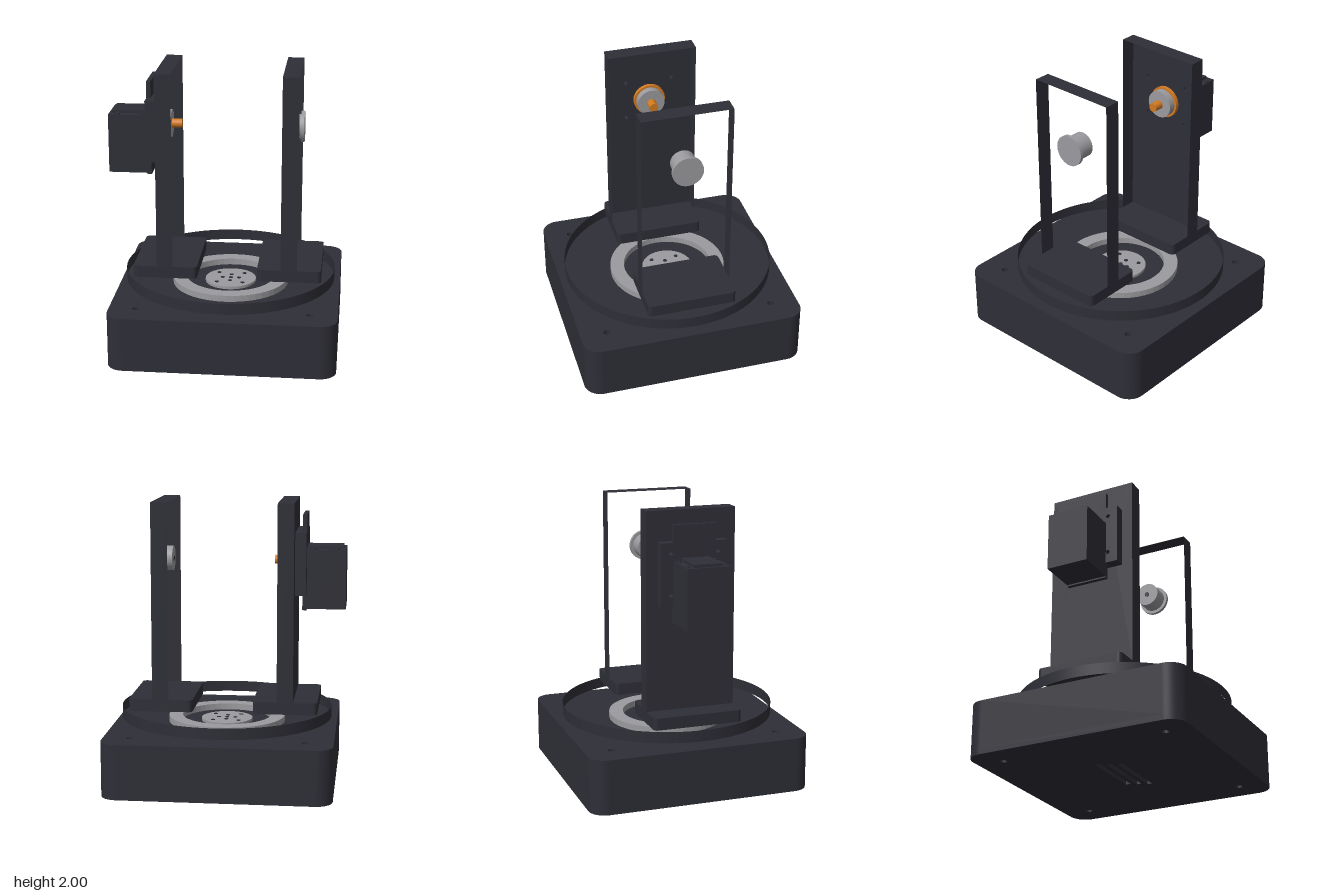
import * as THREE from 'three';

const dark = new THREE.MeshStandardMaterial({ color: 0x2e2e37, side: THREE.DoubleSide });
dark.name = 'charcoal';
const grey = new THREE.MeshStandardMaterial({ color: 0x9b9b9f, side: THREE.DoubleSide });
grey.name = 'metal grey';
const orange = new THREE.MeshStandardMaterial({ color: 0xd27a22 });
orange.name = 'orange';

const CX = 0.025; // turntable axis
const AXIS_Y = 1.575; // tilt axis height

function add(parent, name, geometry, material, x = 0, y = 0, z = 0) {
  const mesh = new THREE.Mesh(geometry, material);
  mesh.name = name;
  mesh.position.set(x, y, z);
  parent.add(mesh);
  return mesh;
}

// Box given by its minimum and maximum on each axis
function box(parent, name, material, x0, x1, y0, y1, z0, z1) {
  return add(parent, name, new THREE.BoxGeometry(x1 - x0, y1 - y0, z1 - z0), material,
    (x0 + x1) / 2, (y0 + y1) / 2, (z0 + z1) / 2);
}

// Cylinder lying along x
function axle(parent, name, material, x0, x1, r, y = AXIS_Y, z = 0) {
  const g = new THREE.CylinderGeometry(r, r, x1 - x0, 40).rotateZ(Math.PI / 2);
  return add(parent, name, g, material, (x0 + x1) / 2, y, z);
}

function roundedRect(w, h, r) {
  const s = new THREE.Shape();
  const a = w / 2, b = h / 2;
  s.absarc(a - r, b - r, r, 0, Math.PI / 2);
  s.absarc(-a + r, b - r, r, Math.PI / 2, Math.PI);
  s.absarc(-a + r, -b + r, r, Math.PI, Math.PI * 1.5);
  s.absarc(a - r, -b + r, r, Math.PI * 1.5, Math.PI * 2);
  s.closePath();
  return s;
}

function rect(x0, x1, y0, y1, Type = THREE.Shape) {
  const s = new Type();
  s.moveTo(x0, y0);
  s.lineTo(x1, y0);
  s.lineTo(x1, y1);
  s.lineTo(x0, y1);
  s.closePath();
  return s;
}

function punch(shape, points, r) {
  for (const [x, y] of points) shape.holes.push(new THREE.Path().absarc(x, y, r, 0, Math.PI * 2, true));
  return shape;
}

// Upward slab from a plan outline
function slab(shape, depth) {
  return new THREE.ExtrudeGeometry(shape, { depth, bevelEnabled: false, curveSegments: 24 }).rotateX(-Math.PI / 2);
}

const corners = (a, b = a) => [[a, b], [-a, b], [-a, -b], [a, -b]];

function buildBase(root) {
  const base = new THREE.Group();
  base.name = 'base';
  const outline = () => punch(roundedRect(1.6, 1.6, 0.12), corners(0.607), 0.025);
  const floor = outline();
  // Cable slots in the underside
  for (const [x, z] of [[0.03, -0.07], [0, 0], [-0.03, 0.07]])
    floor.holes.push(rect(x - 0.23, x + 0.23, z - 0.018, z + 0.018, THREE.Path));
  add(base, 'baseFloor', slab(floor, 0.04), dark, CX, 0, 0);
  add(base, 'baseBody', slab(outline(), 0.35), dark, CX, 0.04, 0);
  root.add(base);
}

function buildTurntable(root) {
  const table = new THREE.Group();
  table.name = 'turntable';
  table.position.x = CX;
  // Bearing ring
  const ring = punch(new THREE.Shape().absarc(0, 0, 0.422, 0, Math.PI * 2), [[0, 0]], 0.322);
  add(table, 'bearingRing', slab(ring, 0.045), grey, 0, 0.39, 0);
  // Open rim
  add(table, 'turntableRim', new THREE.CylinderGeometry(0.76, 0.76, 0.08, 96, 1, true), dark, 0, 0.475, 0);
  // Central hub with bolt holes
  add(table, 'hubDisc', new THREE.CylinderGeometry(0.185, 0.185, 0.02, 56), grey, 0, 0.40, 0);
  const bolts = [[0, 0], [0.06, 0], [-0.06, 0], [0, 0.06], [0, -0.06], ...corners(0.094)];
  for (const [x, z] of bolts)
    add(table, 'hubBoltHole', new THREE.CylinderGeometry(0.015, 0.015, 0.004, 16), dark, x, 0.411, z);
  root.add(table);
}

// Hollow upright made of front, back and top strips
function buildUpright(root, name, x0, x1, footX0, footX1) {
  const g = new THREE.Group();
  g.name = name;
  const w = x1 - x0, mid = (x0 + x1) / 2;
  for (const s of [1, -1]) {
    const strip = new THREE.PlaneGeometry(w, 1.4);
    if (s < 0) strip.rotateY(Math.PI);
    add(g, s > 0 ? 'frontStrip' : 'backStrip', strip, dark, mid, 1.3, s * 0.32);
  }
  add(g, 'topStrip', new THREE.PlaneGeometry(w, 0.64).rotateX(-Math.PI / 2), dark, mid, 2, 0);
  add(g, 'foot', slab(roundedRect(footX1 - footX0, 0.64, 0.03), 0.085), dark, (footX0 + footX1) / 2, 0.515, 0);
  root.add(g);
  return g;
}

function buildMotor(root) {
  const motor = new THREE.Group();
  motor.name = 'motor';
  box(motor, 'motorBody', dark, -0.83, -0.555, 1.245, 1.665, -0.153, 0.153);
  box(motor, 'motorCap', dark, -0.81, -0.555, 1.665, 1.685, -0.1, 0.1);
  box(motor, 'motorFlange', dark, -0.555, -0.525, 1.235, 1.91, -0.153, 0.153);
  for (const x of [-0.765, -0.6]) for (const z of [-0.13, 0.13])
    add(motor, 'motorScrew', new THREE.CylinderGeometry(0.018, 0.018, 0.008, 16), dark, x, 1.669, z);
  // Adapter plate between the flange and the upright
  const plate = punch(rect(-0.24, 0.24, 1.35, 1.79), mountHoles, 0.015);
  const g = new THREE.ExtrudeGeometry(plate, { depth: 0.078, bevelEnabled: false }).rotateY(Math.PI / 2);
  add(motor, 'adapterPlate', g, dark, -0.555, 0, 0);
  // Drive coupling
  axle(motor, 'couplingBack', orange, -0.472, -0.445, 0.115);
  axle(motor, 'couplingDisc', grey, -0.445, -0.395, 0.1);
  axle(motor, 'driveShaft', orange, -0.395, -0.322, 0.032);
  root.add(motor);
}

const mountHoles = corners(0.169, 0.144).map(([z, y]) => [z, y + AXIS_Y]);

export function createModel() {
  const root = new THREE.Group();
  root.name = 'tiltTurntable';
  buildBase(root);
  buildTurntable(root);

  const motorSide = buildUpright(root, 'motorUpright', -0.475, -0.36, -0.645, -0.19);
  const face = punch(rect(-0.32, 0.32, 0.6, 2), mountHoles, 0.015);
  add(motorSide, 'outerFace', new THREE.ShapeGeometry(face).rotateY(-Math.PI / 2), dark, -0.475, 0, 0);
  buildMotor(root);

  buildUpright(root, 'idlerUpright', 0.408, 0.525, 0.24, 0.695);
  // Idler bearing
  const idler = new THREE.Group();
  idler.name = 'idler';
  axle(idler, 'idlerBody', grey, 0.41, 0.525, 0.088);
  axle(idler, 'idlerFlange', grey, 0.525, 0.55, 0.11);
  axle(idler, 'idlerCentreHole', dark, 0.406, 0.412, 0.018);
  root.add(idler);
  return root;
}
